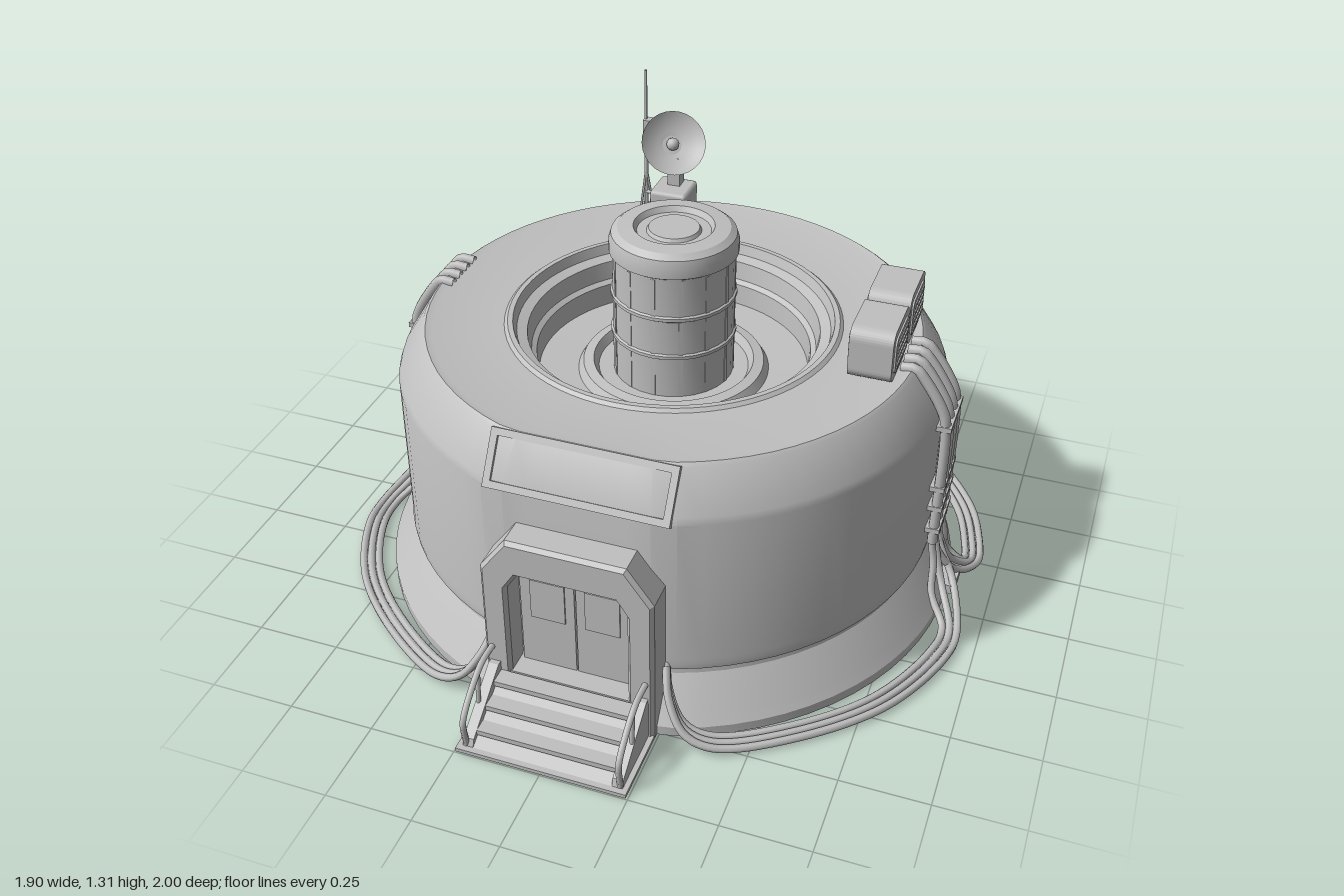
import * as THREE from 'three';
import { toCreasedNormals } from 'three/addons/utils/BufferGeometryUtils.js';
import { RoundedBoxGeometry } from 'three/addons/geometries/RoundedBoxGeometry.js';

const CZ = -0.068; // z of the round building's axis

export function createModel() {
  const model = new THREE.Group();
  model.name = 'roundBunker';
  const grey = new THREE.MeshStandardMaterial({ color: 0xc0c0c0, side: THREE.DoubleSide });
  grey.name = 'concreteGrey';

  const add = (name, geo, x = 0, y = 0, z = 0, parent = model) => {
    const m = new THREE.Mesh(geo, grey);
    m.name = name;
    m.position.set(x, y, z);
    parent.add(m);
    return m;
  };
  const box = (name, w, h, d, x, y, z, parent) => add(name, new THREE.BoxGeometry(w, h, d), x, y, z, parent);
  const vec = (pts) => pts.map((p) => new THREE.Vector2(p[0], p[1]));
  const lathe = (name, pts, seg = 72) => {
    const geo = new THREE.LatheGeometry(vec(pts), seg);
    // Flatten the outer wall behind the entrance
    const pos = geo.attributes.position;
    for (let i = 0; i < pos.count; i++) {
      const r = Math.hypot(pos.getX(i), pos.getZ(i));
      if (r > 0.6) pos.setZ(i, Math.min(pos.getZ(i), r * 0.955));
    }
    return add(name, toCreasedNormals(geo, 0.35), 0, 0, CZ);
  };
  const tube = (name, pts, r, seg = 40, parent = model) => {
    const curve = new THREE.CatmullRomCurve3(pts.map((p) => new THREE.Vector3(...p)), false, 'centripetal');
    return add(name, new THREE.TubeGeometry(curve, seg, r, 7), 0, 0, 0, parent);
  };
  const rod = (name, a, b, r, parent) => tube(name, [a, b], r, 1, parent);

  // Outer shell: flared skirt, lip, wall, chamfer and roof ring
  lathe('shell', [
    [0.87, 0], [0.87, 0.03], [0.85, 0.06], [0.805, 0.13], [0.787, 0.155], [0.785, 0.172], [0.8, 0.182],
    [0.802, 0.2], [0.8, 0.215], [0.8, 0.675], [0.793, 0.695], [0.725, 0.805], [0.715, 0.813],
    [0.695, 0.808], [0.49, 0.806], [0.48, 0.815], [0.465, 0.815],
  ]);
  // Sunken roof well with stepped sides
  lathe('roofWell', [
    [0.465, 0.815], [0.455, 0.785], [0.425, 0.775], [0.415, 0.72], [0.4, 0.71],
    [0.395, 0.645], [0.28, 0.64], [0.265, 0.665], [0.235, 0.67], [0.22, 0.645], [0, 0.64],
  ]);

  // Central tower with bands and a rounded, recessed cap
  lathe('tower', [
    [0.176, 0.64], [0.176, 0.768], [0.182, 0.772], [0.182, 0.782], [0.176, 0.786],
    [0.176, 0.892], [0.182, 0.896], [0.182, 0.906], [0.176, 0.91], [0.176, 1.03],
  ], 28);
  lathe('towerCap', [
    [0.17, 1.025], [0.185, 1.035], [0.185, 1.065], [0.178, 1.088], [0.16, 1.102], [0.115, 1.106],
    [0.105, 1.09], [0.078, 1.09], [0.072, 1.1], [0.06, 1.1], [0, 1.1],
  ], 48);
  for (let i = 0; i < 14; i++) {
    const a = (i / 14) * Math.PI * 2;
    const rib = box('towerRib', 0.012, 0.38, 0.012, 0.171 * Math.sin(a), 0.835, CZ + 0.171 * Math.cos(a));
    rib.rotation.y = a;
  }

  // Entrance: chamfered frame with an opening and two door leaves
  const entrance = new THREE.Group();
  entrance.name = 'entrance';
  model.add(entrance);
  const frame = new THREE.Shape(vec([[-0.235, 0.01], [0.235, 0.01], [0.235, 0.47], [0.165, 0.567], [-0.165, 0.567], [-0.235, 0.47]]));
  frame.holes.push(new THREE.Path(vec([[-0.18, 0.1], [-0.18, 0.42], [-0.145, 0.475], [0.145, 0.475], [0.18, 0.42], [0.18, 0.1]])));
  add('doorFrame', new THREE.ExtrudeGeometry(frame, {
    depth: 0.165, bevelEnabled: true, bevelThickness: 0.012, bevelSize: 0.01, bevelSegments: 1,
  }), 0, 0, 0.608, entrance);
  box('doorBacking', 0.37, 0.4, 0.07, 0, 0.28, 0.668, entrance);
  box('doorLintel', 0.3, 0.035, 0.06, 0, 0.462, 0.72, entrance);
  for (const s of [-1, 1]) {
    box('doorLeaf', 0.157, 0.34, 0.02, s * 0.081, 0.285, 0.71, entrance);
    box('doorPanel', 0.1, 0.13, 0.006, s * 0.079, 0.35, 0.722, entrance);
  }
  box('threshold', 0.36, 0.03, 0.08, 0, 0.105, 0.74, entrance);

  // Entrance steps with sloping cheeks and handrails
  const steps = new THREE.Group();
  steps.name = 'steps';
  model.add(steps);
  box('stepBase', 0.49, 0.012, 0.22, 0, 0.006, 0.89, steps);
  [[0.12, 0.81], [0.085, 0.87], [0.05, 0.93]].forEach(([y, z]) => box('tread', 0.4, 0.016, 0.05, 0, y - 0.008, z, steps));
  const slope = box('stepSlope', 0.4, 0.008, 0.22, 0, 0.061, 0.885, steps);
  slope.rotation.x = 0.5;
  const cheek = new THREE.ExtrudeGeometry(
    new THREE.Shape(vec([[0.77, 0.005], [0.985, 0.005], [0.975, 0.035], [0.8, 0.15], [0.77, 0.15]])),
    { depth: 0.03, bevelEnabled: false });
  cheek.rotateY(-Math.PI / 2);
  for (const s of [-1, 1]) {
    add('stepCheek', cheek, s * 0.215 + 0.015, 0, 0, steps);
    tube('handrail', [[s * 0.222, 0.01, 0.975], [s * 0.222, 0.1, 0.985], [s * 0.222, 0.13, 0.965],
      [s * 0.222, 0.185, 0.89], [s * 0.222, 0.2, 0.85], [s * 0.222, 0.2, 0.77]], 0.009, 24, steps);
    rod('railPost', [s * 0.222, 0.07, 0.89], [s * 0.222, 0.19, 0.88], 0.007, steps);
  }

  // Tilted panel above the door, lying on the chamfer
  const hood = new THREE.Group();
  hood.name = 'hoodPanel';
  hood.position.set(0, 0.733, 0.64);
  hood.rotation.x = -0.55;
  model.add(hood);
  box('hoodBody', 0.52, 0.16, 0.07, 0, 0, -0.02, hood);
  for (const s of [-1, 1]) {
    box('hoodRimSide', 0.02, 0.16, 0.012, s * 0.25, 0, 0.02, hood);
    box('hoodRim', 0.48, 0.02, 0.012, 0, s * 0.07, 0.02, hood);
  }
  box('hoodStrip', 0.4, 0.015, 0.008, 0, -0.03, 0.018, hood);

  // Cables: down each flank, then along the ground to the door or round the back
  const pipeZ = [-0.02, -0.067, -0.115, -0.162];
  const flank = (s, z) => [[s * 0.68, 0.81, z], [s * 0.722, 0.812, z], [s * 0.745, 0.79, z],
    [s * 0.808, 0.69, z], [s * 0.82, 0.64, z], [s * 0.82, 0.23, z]];
  const frontRun = [[0.938, 0.012, 0.1], [0.925, 0.012, 0.22], [0.81, 0.012, 0.46], [0.61, 0.012, 0.655],
    [0.41, 0.02, 0.775], [0.33, 0.055, 0.785], [0.275, 0.13, 0.75], [0.25, 0.2, 0.7]];
  const backRun = [[0.938, 0.012, -0.24], [0.92, 0.012, -0.36], [0.86, 0.012, -0.52],
    [0.66, 0.012, -0.77], [0.39, 0.012, -0.93], [0.15, 0.012, -0.98], [0, 0.012, -0.988]];
  for (const s of [-1, 1]) {
    for (let k = 0; k < 3; k++) {
      const f = 0.952 + k * 0.024; // the cable nearest the turn stays innermost
      const ring = ([x, y, z]) => [s * x * f, y, CZ + (z - CZ) * f];
      const path = (z, dir, run) => [...flank(s, z),
        [s * 0.832, 0.16, z + dir * 0.008], [s * 0.885 * f, 0.07, z + dir * 0.045], ...run.map(ring)];
      tube('frontCable', path(pipeZ[k], 1, frontRun), 0.0115, 110);
      tube('backCable', path(pipeZ[3 - k], -1, backRun), 0.0115, 110);
    }
    for (const z of pipeZ) tube('conduit', flank(s, z), 0.016, 40);
    for (const y of [0.28, 0.36, 0.43, 0.64]) box('conduitClamp', 0.045, 0.016, 0.175, s * 0.817, y, -0.091);
    box('cableJunction', 0.06, 0.03, 0.1, s * 0.87, 0.045, -0.091);
  }

  // Pair of roof ventilation units: rounded side profile, flat ends and louvred faces
  const roundRect = (w, h, r) => {
    const x = w / 2, y = h / 2, shape = new THREE.Shape();
    [[x - r, y - r, 0], [r - x, y - r, 1], [r - x, r - y, 2], [x - r, r - y, 3]].forEach(([cx, cy, q]) =>
      shape.absarc(cx, cy, r, q * Math.PI / 2, (q + 1) * Math.PI / 2, false));
    return shape;
  };
  const slab = (w, h, r, depth) => new THREE.ExtrudeGeometry(roundRect(w, h, r), { depth, bevelEnabled: false, curveSegments: 4 })
    .translate(0, 0, -depth / 2).rotateY(Math.PI / 2);
  for (const z of [-0.221, -0.013]) {
    const unit = new THREE.Group();
    unit.name = 'ventUnit';
    unit.position.set(0.612, 0.887, z);
    model.add(unit);
    add('ventCasing', slab(0.195, 0.157, 0.035, 0.122), 0, 0, 0, unit);
    for (const s of [-1, 1]) {
      add('ventFace', slab(0.15, 0.112, 0.02, 0.008), s * 0.062, 0, 0, unit);
      for (let i = 0; i < 4; i++) box('louvre', 0.004, 0.012, 0.12, s * 0.067, -0.036 + i * 0.024, 0, unit);
    }
  }

  // Dish on a pedestal
  add('dishPedestal', new RoundedBoxGeometry(0.12, 0.14, 0.125, 1, 0.012), -0.185, 0.878, -0.59);
  box('dishPost', 0.04, 0.17, 0.04, -0.185, 1.02, -0.61);
  box('dishHead', 0.06, 0.05, 0.06, -0.185, 1.08, -0.6);
  const dish = new THREE.Group();
  dish.name = 'dish';
  dish.position.set(-0.172, 1.112, -0.54);
  dish.quaternion.setFromUnitVectors(new THREE.Vector3(0, 1, 0), new THREE.Vector3(0.42, 0.6, 0.68).normalize());
  model.add(dish);
  add('dishBowl', new THREE.LatheGeometry(vec([[0, -0.012], [0.045, -0.004], [0.078, 0.01], [0.099, 0.026]]), 28), 0, 0, 0, dish);
  add('dishFeed', new THREE.SphereGeometry(0.02, 12, 8), 0, 0.01, 0, dish);
  add('dishMount', new THREE.CylinderGeometry(0.03, 0.02, 0.04, 12), 0, -0.025, 0, dish);
  rod('dishStrut', [-0.185, 1.0, -0.6], [-0.15, 1.07, -0.52], 0.008);

  // Whip aerial on a tripod
  const ax = -0.285, az = -0.615;
  rod('aerialMast', [ax, 0.81, az], [ax, 1.15, az], 0.006);
  rod('aerialWhip', [ax, 1.15, az], [ax, 1.31, az], 0.0045);
  box('aerialBox', 0.03, 0.06, 0.03, ax + 0.01, 1.12, az);
  rod('aerialArm', [ax, 0.9, az], [-0.2, 0.9, -0.6], 0.006);
  for (let i = 0; i < 3; i++) {
    const a = (i / 3) * Math.PI * 2;
    rod('aerialLeg', [ax, 0.98, az], [ax + 0.03 * Math.cos(a), 0.81, az + 0.03 * Math.sin(a)], 0.004);
  }
  return model;
}
